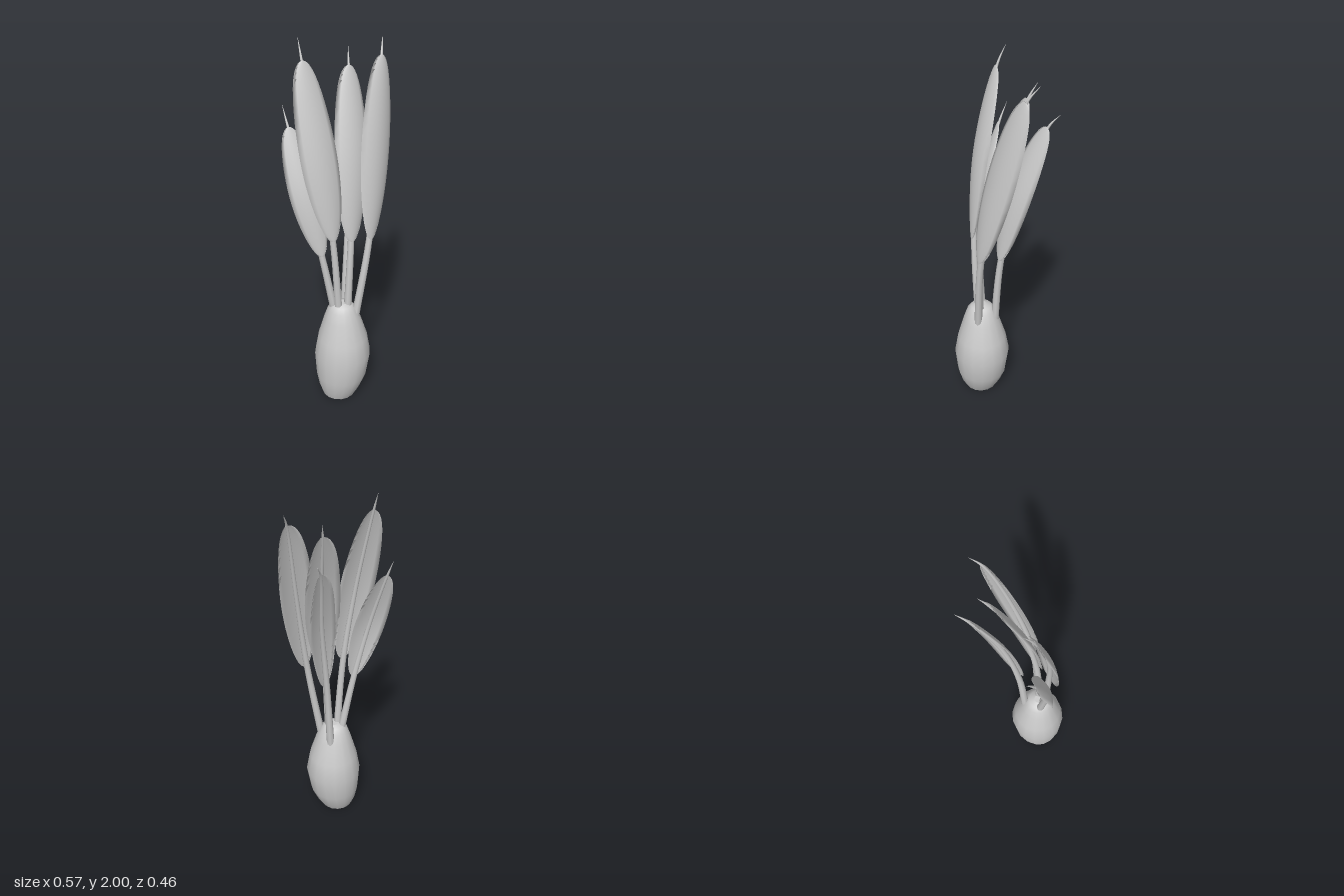
import * as THREE from 'three';

const V = (x, y, z) => new THREE.Vector3(x, y, z);

// Closed skin over rings of equal point count, with flat caps at both ends.
function loft(rings) {
  const n = rings[0].length, pos = [], idx = [];
  const add = p => pos.push(p.x, p.y, p.z) / 3 - 1;
  rings.forEach(r => r.forEach(add));
  for (let i = 0; i < rings.length - 1; i++) {
    for (let j = 0; j < n; j++) {
      const a = i * n + j, b = i * n + (j + 1) % n;
      idx.push(a, b, b + n, a, b + n, a + n);
    }
  }
  [rings[0], rings[rings.length - 1]].forEach((ring, end) => {
    const mid = ring.reduce((s, p) => s.add(p), V(0, 0, 0)).divideScalar(n);
    const c = add(mid), first = c + 1;
    ring.forEach(add);
    for (let j = 0; j < n; j++) {
      const a = first + j, b = first + (j + 1) % n;
      end ? idx.push(c, a, b) : idx.push(c, b, a);
    }
  });
  const g = new THREE.BufferGeometry();
  g.setAttribute('position', new THREE.Float32BufferAttribute(pos, 3));
  g.setIndex(idx);
  g.computeVertexNormals();
  return g;
}

// Each leaf: base, blade bottom, blade middle, blade top, spike tip;
// then the horizontal direction across the blade and its half width.
const LEAVES = [
  { name: 'rightTallLeaf', half: 0.097, across: [1, 0.08], path: [
    [-0.065, 0.48, 0.085], [-0.105, 1.0, 0.085], [-0.147, 1.45, 0.036], [-0.17, 1.9, -0.08], [-0.165, 2.0, -0.125]] },
  { name: 'rightShortLeaf', half: 0.08, across: [0.96, 0.28], path: [
    [-0.07, 0.48, 0.06], [-0.145, 0.9, 0.038], [-0.205, 1.25, -0.012], [-0.232, 1.57, -0.122], [-0.237, 1.67, -0.167]] },
  { name: 'middleLeaf', half: 0.099, across: [1, -0.06], path: [
    [-0.025, 0.48, 0.095], [0.0, 0.97, 0.09], [0.045, 1.4, 0.03], [0.1, 1.83, -0.107], [0.12, 1.91, -0.145]] },
  { name: 'backLeaf', half: 0.082, across: [0.95, -0.3], path: [
    [0.0, 0.46, 0.02], [0.035, 0.92, -0.005], [0.09, 1.32, -0.068], [0.15, 1.69, -0.19], [0.185, 1.76, -0.233]] },
  { name: 'leftTallLeaf', half: 0.1, across: [0.97, -0.23], path: [
    [0.003, 0.46, 0.12], [0.085, 0.98, 0.132], [0.16, 1.45, 0.073], [0.238, 1.88, -0.028], [0.272, 1.96, -0.075]] },
];

const stemRadius = t => t < 0.75 ? 0.022 - 0.021 * t : 0.006 * (1 - t) / 0.25 + 0.0005;

function makeLeaf({ name, path, across, half }, material) {
  const curve = new THREE.CatmullRomCurve3(path.map(p => V(...p)), false, 'centripetal');
  // Point at t on the spine, moved a across the blade and b out of its front
  const frame = t => {
    const p = curve.getPoint(t), tan = curve.getTangent(t);
    const w = V(across[0], 0, across[1]);
    w.addScaledVector(tan, -w.dot(tan)).normalize();
    const out = w.clone().cross(tan);
    return (a, b) => p.clone().addScaledVector(w, a).addScaledVector(out, b);
  };

  // Stem runs up the back of the blade as a rib and ends as a thin spike
  const stemRings = Array.from({ length: 33 }, (_, i) => {
    const at = frame(i / 32), r = stemRadius(i / 32);
    return Array.from({ length: 8 }, (_, j) => {
      const a = j / 8 * Math.PI * 2;
      return at(Math.cos(a) * r, -Math.sin(a) * r);
    });
  });

  // Blade is a thin arched shell, convex to the front with its edges bent back
  const N = 8;
  const bladeRings = Array.from({ length: 25 }, (_, i) => {
    const s = 0.001 + 0.998 * (1 - Math.cos(Math.PI * i / 24)) / 2;
    const t = 0.25 + 0.5 * s, at = frame(t);
    const hw = half * Math.pow(Math.sin(Math.PI * s), 0.48);
    return Array.from({ length: 2 * N }, (_, j) => {
      const front = j < N;
      const u = front ? 2 * j / N - 1 : 1 - 2 * (j - N) / N;
      const thick = (front ? 0.004 : -0.005) * (1 - u * u) * hw / half;
      return at(u * hw, stemRadius(t) + 0.001 - 0.25 * hw * u * u + thick);
    });
  });

  const leaf = new THREE.Group();
  leaf.name = name;
  for (const [part, rings] of [['stem', stemRings], ['blade', bladeRings]]) {
    const mesh = new THREE.Mesh(loft(rings), material);
    mesh.name = part;
    leaf.add(mesh);
  }
  return leaf;
}

export function createModel() {
  const model = new THREE.Group();
  model.name = 'sproutingBulb';
  const material = new THREE.MeshStandardMaterial({ color: 0xcccccc, side: THREE.DoubleSide });

  // Bulb: height, radius, centre x
  const profile = [[0, 0.092, -0.066], [0.05, 0.115, -0.06], [0.13, 0.139, -0.05], [0.27, 0.154, -0.042],
    [0.38, 0.135, -0.042], [0.5, 0.099, -0.044], [0.56, 0.077, -0.046], [0.585, 0.055, -0.047], [0.597, 0.025, -0.047]];
  const bulb = new THREE.Mesh(loft(profile.map(([y, r, x]) =>
    Array.from({ length: 16 }, (_, j) => {
      const a = j / 16 * Math.PI * 2;
      return V(x + r * Math.sin(a), y, 0.077 + r * Math.cos(a));
    }))), material);
  bulb.name = 'bulb';
  model.add(bulb);

  LEAVES.forEach(l => model.add(makeLeaf(l, material)));
  return model;
}
